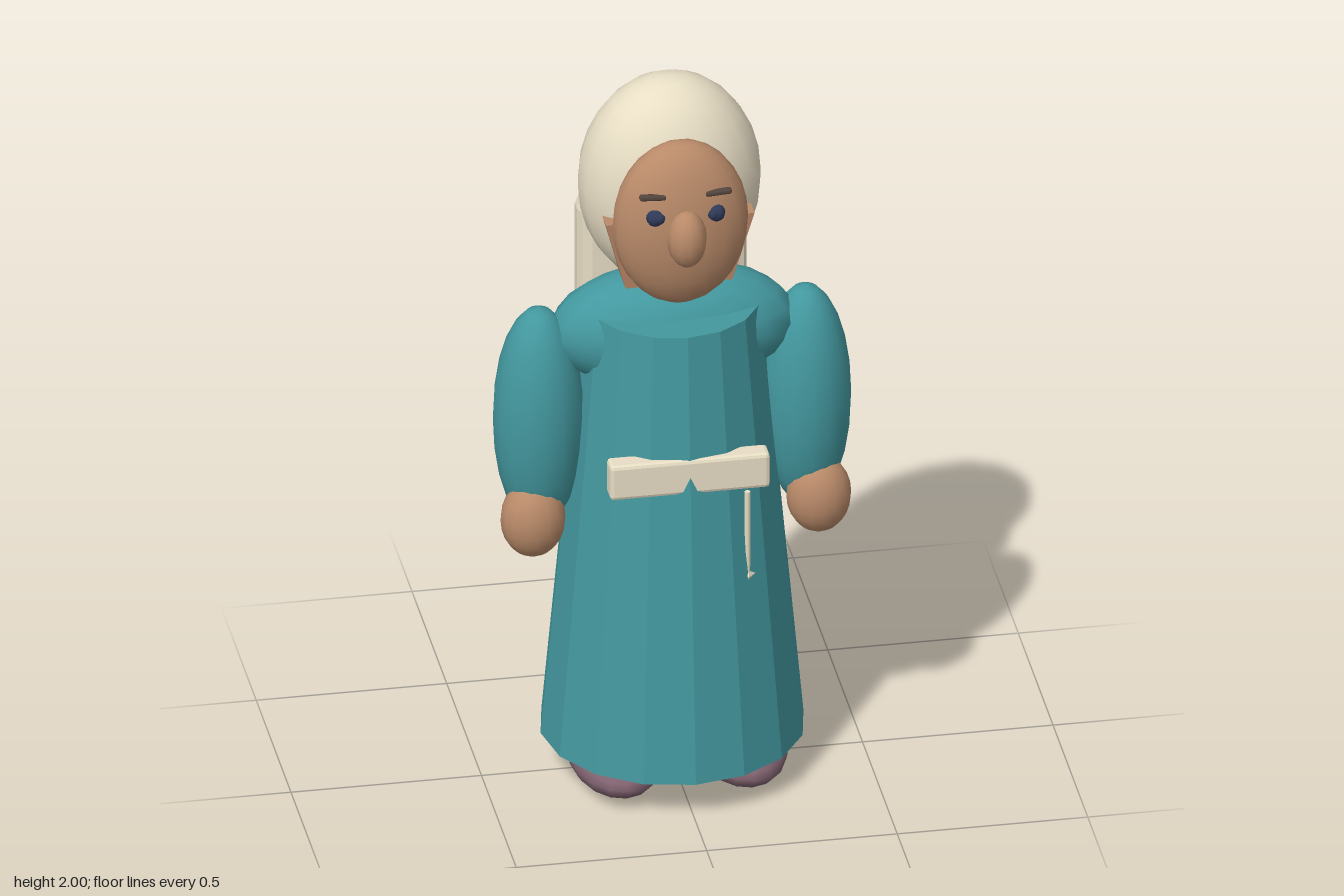
import * as THREE from 'three';
import { RoundedBoxGeometry } from 'three/addons/geometries/RoundedBoxGeometry.js';

const mat = (color, flatShading = false) => {
  const m = new THREE.MeshStandardMaterial({ color });
  m.flatShading = flatShading;
  return m;
};

export function createModel() {
  const model = new THREE.Group();
  const teal = mat(0x43989f), robeTeal = mat(0x43989f, true);
  const skin = mat(0xb98a69), flatSkin = mat(0xb98a69, true);
  const cream = mat(0xe8dec5), flatCream = mat(0xe8dec5, true);
  const shoe = mat(0x80626f), eyeBlue = mat(0x2f3a58), browBrown = mat(0x54463f);

  const add = (name, geometry, material, x, y, z) => {
    const mesh = new THREE.Mesh(geometry, material);
    mesh.name = name;
    mesh.position.set(x, y, z);
    model.add(mesh);
    return mesh;
  };
  const ball = (name, material, [x, y, z], [rx, ry, rz], w = 16, h = 12) =>
    add(name, new THREE.SphereGeometry(1, w, h).scale(rx, ry, rz), material, x, y, z);

  // Robe and shoulders
  add('robe', new THREE.CylinderGeometry(0.23, 0.345, 1.255, 16), robeTeal, 0, 0.7425, 0);
  ball('shoulders', teal, [0, 1.29, 0], [0.325, 0.17, 0.155]);

  // Face, and tapered jaw behind it
  ball('face', skin, [0, 1.657, 0.12], [0.178, 0.235, 0.1], 20, 14);
  const jaw = new THREE.CylinderGeometry(Math.SQRT2, Math.SQRT2 * 0.72, 0.2, 4).rotateY(Math.PI / 4);
  add('jaw', jaw.scale(0.195, 1, 0.065), flatSkin, 0, 1.56, 0.055);
  ball('nose', skin, [0, 1.655, 0.215], [0.052, 0.08, 0.055], 12, 10);

  // Hair, flattened where it meets the face
  const hair = ball('hair', cream, [0, 1.7, -0.04], [0.24, 0.3, 0.185], 20, 14);
  const p = hair.geometry.attributes.position;
  for (let i = 0; i < p.count; i++) p.setZ(i, Math.min(p.getZ(i), 0.16));
  hair.geometry.computeBoundingSphere();

  // Paired parts
  for (const [side, s] of [['left', 1], ['right', -1]]) {
    ball(side + 'Arm', teal, [s * 0.35, 1.05, 0], [0.12, 0.32, 0.12]);
    ball(side + 'Hand', skin, [s * 0.375, 0.782, 0.055], [0.085, 0.107, 0.075]);
    ball(side + 'Shoe', shoe, [s * 0.165, 0.075, 0.072], [0.12, 0.07, 0.207]);
    ball(side + 'Eye', eyeBlue, [s * 0.08, 1.715, 0.197], [0.024, 0.024, 0.024], 10, 8);
    ball(side + 'Pupil', eyeBlue, [s * 0.07, 1.717, 0.211], [0.014, 0.015, 0.012], 8, 6);
    const brow = add(side + 'Brow', new RoundedBoxGeometry(0.07, 0.015, 0.02, 1, 0.006), browBrown,
      s * 0.086, 1.773, 0.194);
    brow.rotation.z = s * 0.06;
  }

  // Back panel and belt, partly sunk into the robe
  add('backPanel', new RoundedBoxGeometry(0.445, 0.615, 0.1, 1, 0.035), flatCream, 0, 1.295, -0.165);
  add('belt', new RoundedBoxGeometry(0.42, 0.1, 0.06, 1, 0.01), flatCream, 0, 0.977, 0.236);

  // Hanging cord and its tip
  add('cord', new THREE.CylinderGeometry(0.008, 0.008, 0.26, 8), cream, 0.155, 0.775, 0.235);
  add('cordTip', new THREE.OctahedronGeometry(1).scale(0.02, 0.035, 0.02), flatCream, 0.157, 0.66, 0.23);

  return model;
}
